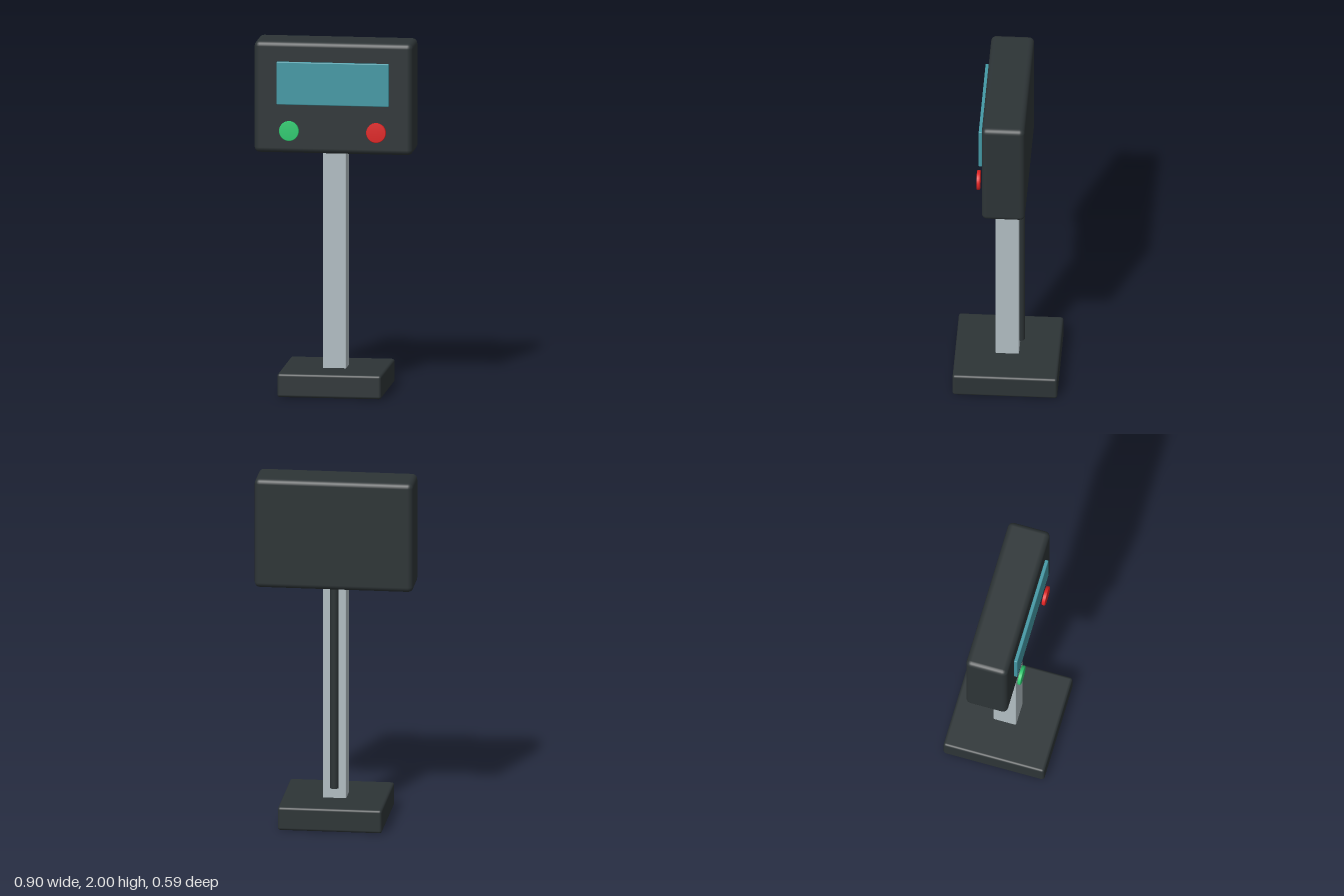
import * as THREE from 'three';
import { RoundedBoxGeometry } from 'three/addons/geometries/RoundedBoxGeometry.js';

const paint = (color) => new THREE.MeshStandardMaterial({ color });

export function createModel() {
  const model = new THREE.Group();
  model.name = 'counterStand';

  const dark = paint(0x2d3436);
  const silver = paint(0xb2bec3);

  const add = (name, geometry, material, x, y, z) => {
    const mesh = new THREE.Mesh(geometry, material);
    mesh.name = name;
    mesh.position.set(x, y, z);
    model.add(mesh);
    return mesh;
  };

  // box given by its size, bottom height and edge radius
  const roundedBox = (name, material, w, h, d, bottom, z, radius) =>
    add(name, new RoundedBoxGeometry(w, h, d, 3, radius), material, 0, bottom + h / 2, z);

  // square foot, post and display housing
  roundedBox('base', dark, 0.59, 0.135, 0.59, 0, 0, 0.015);
  roundedBox('post', silver, 0.132, 1.28, 0.132, 0.12, 0, 0.005);
  roundedBox('housing', dark, 0.898, 0.636, 0.243, 1.364, 0, 0.03);

  // blank display panel just in front of the housing
  roundedBox('screen', paint(0x4499a5), 0.636, 0.244, 0.02, 1.644, 0.136, 0.005);

  // pair of round push buttons, mirrored about the centre
  for (const [name, side, color] of [['greenButton', -1, 0x2ecc71], ['redButton', 1, 0xe02424]]) {
    const profile = [[0, -0.01], [0.052, -0.01], [0.056, -0.007], [0.056, 0.007], [0.052, 0.01], [0, 0.01]];
    const geometry = new THREE.LatheGeometry(profile.map(([r, y]) => new THREE.Vector2(r, y)), 32);
    geometry.rotateX(Math.PI / 2);
    add(name, geometry, paint(color), side * 0.247, 1.496, 0.15);
  }

  // cable conduit running up the back of the post into the housing
  add('cable', new THREE.CylinderGeometry(0.024, 0.024, 1.21, 20), dark, 0, 0.195 + 0.605, -0.072);

  return model;
}
